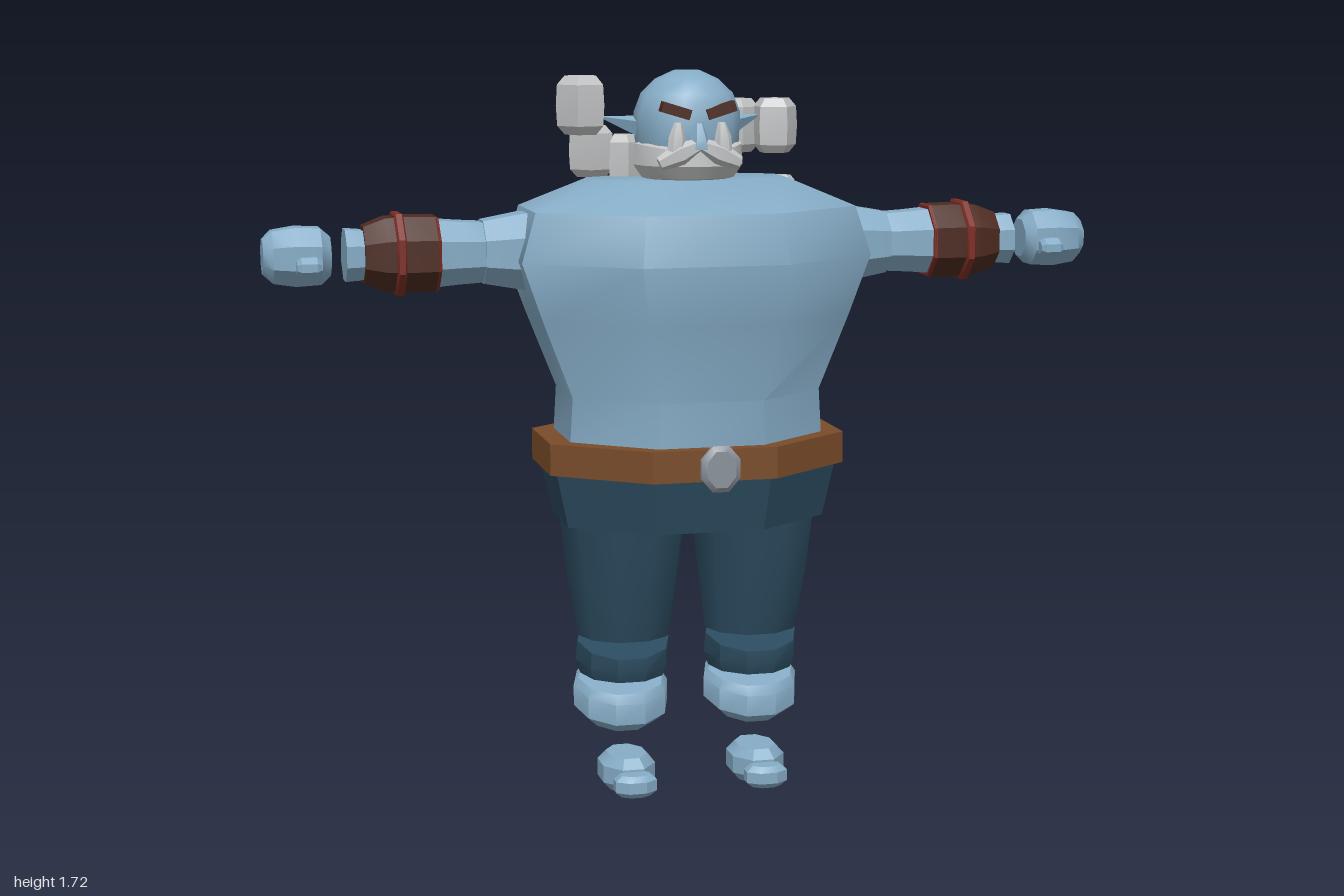
import * as THREE from 'three';
import { toCreasedNormals } from 'three/addons/utils/BufferGeometryUtils.js';

const colour = (name, hex) => {
  const m = new THREE.MeshStandardMaterial({ color: hex });
  m.name = name;
  return m;
};

// Solid through rising rings: [y, centre x, centre z, half width x, half depth z, tilt]
function loft(rings, sides = 8, crease = 0.6) {
  const pos = [], idx = [], n = sides, k = 1 / Math.cos(Math.PI / n), last = (rings.length - 1) * n;
  for (const [y, cx, cz, hx, hz, tilt = 0] of rings) {
    for (let j = 0; j < n; j++) {
      const a = ((j + 0.5) / n) * Math.PI * 2;
      const dz = Math.cos(a) * hz * k;
      pos.push(cx + Math.sin(a) * hx * k, y + tilt * dz, cz + dz);
    }
  }
  for (let i = 0; i < rings.length - 1; i++) {
    for (let j = 0; j < n; j++) {
      const a = i * n + j, b = i * n + ((j + 1) % n);
      idx.push(a, b, b + n, a, b + n, a + n);
    }
  }
  for (let j = 1; j < n - 1; j++) {
    idx.push(0, j + 1, j, last, last + j, last + j + 1);
  }
  const g = new THREE.BufferGeometry();
  g.setAttribute('position', new THREE.Float32BufferAttribute(pos, 3));
  g.setIndex(idx);
  return toCreasedNormals(g, crease);
}

export function createModel() {
  const model = new THREE.Group();
  const skin = colour('blue skin', 0x86acc6);
  const cloth = colour('dark trousers', 0x2b4a5e);
  const leather = colour('belt leather', 0x7a4c2a);
  const bracerMat = colour('dark brown leather', 0x4c2a20);
  const trim = colour('red trim', 0x7c2c24);
  const hair = colour('grey hair', 0xc2c3c4);
  const metal = colour('buckle metal', 0x8b929c);

  const add = (name, geo, mat, x = 0, y = 0, z = 0) => {
    const m = new THREE.Mesh(geo, mat);
    m.name = name;
    m.position.set(x, y, z);
    model.add(m);
    return m;
  };

  // Torso, hips and belt
  add('torso', loft([
    [0.8, 0, -0.018, 0.31, 0.243], [0.97, 0, -0.018, 0.3, 0.243],
    [1.15, 0, -0.018, 0.37, 0.272], [1.29, 0, -0.018, 0.42, 0.292],
    [1.405, 0, -0.02, 0.385, 0.265], [1.472, 0, -0.02, 0.23, 0.125],
  ], 8, 0.7), skin);
  add('hips', loft([[0.66, 0, -0.018, 0.312, 0.23], [0.8, 0, -0.018, 0.342, 0.253]]), cloth);
  add('belt', loft([[0.79, 0, -0.018, 0.357, 0.275], [0.865, 0, -0.018, 0.357, 0.275]]), leather);
  const buckle = loft([
    [-0.015, 0, 0, 0.034, 0.042], [-0.005, 0, 0, 0.046, 0.054],
    [0.005, 0, 0, 0.046, 0.054], [0.015, 0, 0, 0.034, 0.042],
  ]).rotateX(Math.PI / 2);
  add('buckle', buckle, metal, 0, 0.828, 0.3);

  for (const s of [1, -1]) {
    // Legs and feet
    const lx = 0.162 * s;
    add('thigh', loft([
      [0.375, 0.158 * s, -0.012, 0.108, 0.103], [0.52, lx, -0.008, 0.13, 0.128],
      [0.68, lx, -0.003, 0.148, 0.144],
    ], 10, 0.8), cloth);
    add('shin', loft([
      [0.278, 0.16 * s, -0.022, 0.1, 0.1, -0.05], [0.31, 0.16 * s, -0.025, 0.11, 0.112, -0.1],
      [0.36, 0.16 * s, -0.015, 0.108, 0.1, -0.28],
    ], 10), cloth);
    add('ankle', loft([
      [0.165, 0.163 * s, -0.035, 0.08, 0.075, -0.3], [0.195, 0.163 * s, -0.032, 0.111, 0.11, -0.25],
      [0.245, 0.163 * s, -0.032, 0.111, 0.112, -0.24], [0.262, 0.163 * s, -0.03, 0.1, 0.1, -0.2],
    ], 10), skin);
    add('foot', loft([
      [0, lx, 0.022, 0.045, 0.062], [0.022, lx, 0.022, 0.064, 0.083],
      [0.063, lx, 0.022, 0.064, 0.083], [0.085, lx, 0.022, 0.045, 0.062],
    ]), skin);
    add('toes', loft([
      [0.005, lx, 0.12, 0.035, 0.024], [0.018, lx, 0.12, 0.05, 0.035],
      [0.045, lx, 0.12, 0.05, 0.035], [0.058, lx, 0.12, 0.035, 0.024],
    ]), skin);

    // Arm parts run outward along x: pairs of [distance, radius]
    const arm = (name, mat, prof, crease) => {
      const g = loft(prof.map(([d, r]) => [d, 0, 0, r, r]), 8, crease).rotateZ(-Math.PI / 2);
      if (s < 0) g.rotateY(Math.PI);
      return add(name, g, mat, 0, 1.307, -0.03);
    };
    arm('shoulder', skin, [[0.3, 0.09], [0.4, 0.089], [0.492, 0.073]]);
    arm('forearm', skin, [[0.46, 0.06], [0.497, 0.07], [0.55, 0.073], [0.62, 0.079]]);
    arm('bracer', bracerMat, [[0.6, 0.086], [0.67, 0.088], [0.72, 0.085], [0.77, 0.066]]);
    arm('bracerBand', trim, [[0.678, 0.09], [0.682, 0.095], [0.696, 0.095], [0.7, 0.09]]);
    arm('bracerRim', trim, [[0.597, 0.084], [0.604, 0.088]]);
    arm('wrist', skin, [[0.74, 0.05], [0.78, 0.058], [0.812, 0.06]]);
    arm('hand', skin, [[0.845, 0.045], [0.868, 0.065], [0.925, 0.068], [0.978, 0.06], [1, 0.04]]);
    const thumb = loft([
      [-0.028, 0, 0, 0.015, 0.018], [-0.018, 0, 0, 0.023, 0.026],
      [0.018, 0, 0, 0.023, 0.026], [0.028, 0, 0, 0.015, 0.018],
    ]).rotateZ(Math.PI / 2);
    add('thumb', thumb, skin, 0.9 * s, 1.288, 0.038);

    // Pointed ears, swept back
    const ear = new THREE.ConeGeometry(0.028, 0.11, 4).toNonIndexed();
    ear.computeVertexNormals();
    const e = add('ear', ear, skin, 0.152 * s, 1.603, -0.06);
    e.quaternion.setFromUnitVectors(new THREE.Vector3(0, 1, 0), new THREE.Vector3(0.87 * s, 0.2, -0.42).normalize());

    // Brow, tusk and moustache
    const brow = add('brow', new THREE.BoxGeometry(0.07, 0.024, 0.03), bracerMat, 0.054 * s, 1.634, 0.09);
    brow.rotation.z = 0.3 * s;
    add('tusk', loft([
      [1.52, 0.058 * s, 0.108, 0.019, 0.014], [1.575, 0.055 * s, 0.11, 0.017, 0.012],
      [1.607, 0.052 * s, 0.107, 0.008, 0.006],
    ], 6), hair);
    const tache = loft([
      [-0.055, 0, 0, 0.014, 0.01], [0, 0, 0, 0.024, 0.018], [0.05, 0, 0, 0.014, 0.014],
    ], 6).rotateZ(1.15 * s);
    add('moustache', tache, hair, 0.046 * s, 1.535, 0.108);
  }

  // Head, nose and beard
  add('head', loft([
    [1.44, 0, -0.015, 0.085, 0.085], [1.52, 0, -0.015, 0.108, 0.105], [1.56, 0, -0.017, 0.119, 0.113],
    [1.625, 0, -0.017, 0.122, 0.116], [1.67, 0, -0.018, 0.105, 0.1],
    [1.703, 0, -0.02, 0.072, 0.068], [1.723, 0, -0.02, 0.03, 0.028],
  ], 12, 0.8), skin);
  add('nose', loft([
    [1.545, 0, 0.1, 0.024, 0.025], [1.565, 0, 0.102, 0.02, 0.022], [1.605, 0, 0.092, 0.01, 0.012],
  ], 6), skin);
  const beard = new THREE.LatheGeometry([
    [0.08, 1.465], [0.112, 1.475], [0.133, 1.505], [0.13, 1.54], [0.1, 1.552],
  ].map(([r, y]) => new THREE.Vector2(r, y)), 8, -1.5, 3);
  const bp = beard.attributes.position;
  for (let i = 0; i < bp.count; i++) {
    // Sides of the beard climb toward the ears
    if (bp.getY(i) > 1.53) bp.setY(i, bp.getY(i) + 0.18 * Math.max(0, Math.abs(bp.getX(i)) - 0.05));
  }
  const beardMat = hair.clone();
  beardMat.name = 'grey beard';
  beardMat.side = THREE.DoubleSide;
  add('beard', toCreasedNormals(beard, 0.5), beardMat, 0, 0, -0.015);

  // Grey locks around the back of the head: [x, bottom, top, z, radius]
  for (const [x, y0, y1, z, r] of [
    [-0.24, 1.572, 1.71, -0.085, 0.049], [-0.21, 1.47, 1.592, -0.115, 0.045],
    [-0.135, 1.45, 1.57, -0.1, 0.034], [-0.07, 1.42, 1.52, -0.15, 0.036],
    [0.075, 1.42, 1.52, -0.15, 0.04], [0.155, 1.522, 1.65, -0.13, 0.042],
    [0.234, 1.522, 1.652, -0.085, 0.046], [0.25, 1.38, 1.468, -0.08, 0.03],
  ]) {
    const h = y1 - y0;
    const lock = loft([
      [0, 0, 0, r * 0.65, r * 0.65], [h * 0.15, 0, 0, r * 0.95, r * 0.95], [h * 0.5, 0, 0, r, r],
      [h * 0.85, 0, 0, r * 0.95, r * 0.95], [h, 0, 0, r * 0.65, r * 0.65],
    ], 5, 0.3);
    add('hairLock', lock.rotateY(x * 4), hair, x, y0, z);
  }
  return model;
}
